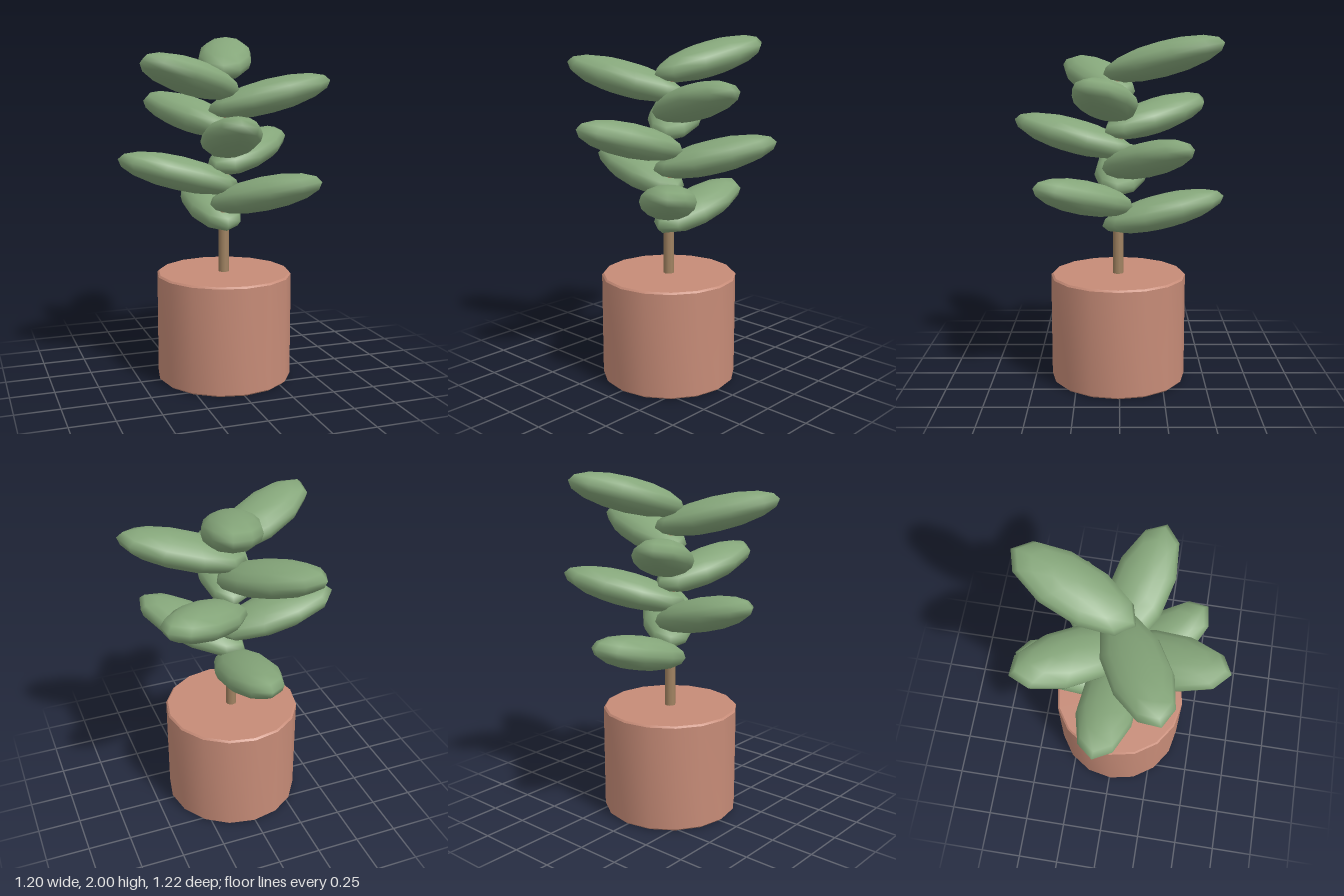
import * as THREE from 'three';
import { toCreasedNormals } from 'three/addons/utils/BufferGeometryUtils.js';

const LEAF_COUNT = 9;
const GOLDEN_ANGLE = THREE.MathUtils.degToRad(137.5);

function material(name, color) {
  const m = new THREE.MeshStandardMaterial({ color });
  m.name = name;
  return m;
}

export function createModel() {
  const terracotta = material('terracotta', 0xc68b77);
  const bark = material('bark', 0xa08261);
  const leafGreen = material('leafGreen', 0x85a67a);

  const plant = new THREE.Group();
  plant.name = 'pottedPlant';
  plant.position.set(0.008, 0, 0.008);

  const add = (name, geometry, mat) => {
    const mesh = new THREE.Mesh(geometry, mat);
    mesh.name = name;
    plant.add(mesh);
    return mesh;
  };

  // Pot: 16-sided drum with a small bevel at both rims
  const profile = [[0, 0], [0.385, 0], [0.395, 0.01], [0.395, 0.62], [0.385, 0.63], [0, 0.63]]
    .map(([x, y]) => new THREE.Vector2(x, y));
  add('pot', toCreasedNormals(new THREE.LatheGeometry(profile, 16), Math.PI / 6), terracotta);

  // Stem: thin rod hidden among the leaves at the top
  add('stem', new THREE.CylinderGeometry(0.03, 0.031, 1.2, 10), bark).position.y = 1.2;

  // Leaves: flattened ellipsoids, tilted upward and spiralling by the golden angle
  const leafGeometry = new THREE.SphereGeometry(1, 10, 8);
  leafGeometry.scale(0.364, 0.098, 0.164);
  for (let i = 0; i < LEAF_COUNT; i++) {
    const heading = -Math.PI / 2 + i * GOLDEN_ANGLE;
    const leaf = add(`leaf${i + 1}`, leafGeometry, leafGreen);
    leaf.position.set(0.26 * Math.cos(heading), 1.0 + 0.109 * i, 0.26 * Math.sin(heading));
    leaf.rotation.set(0, -heading, 0.25);
  }

  const model = new THREE.Group();
  model.name = 'model';
  model.add(plant);
  return model;
}
